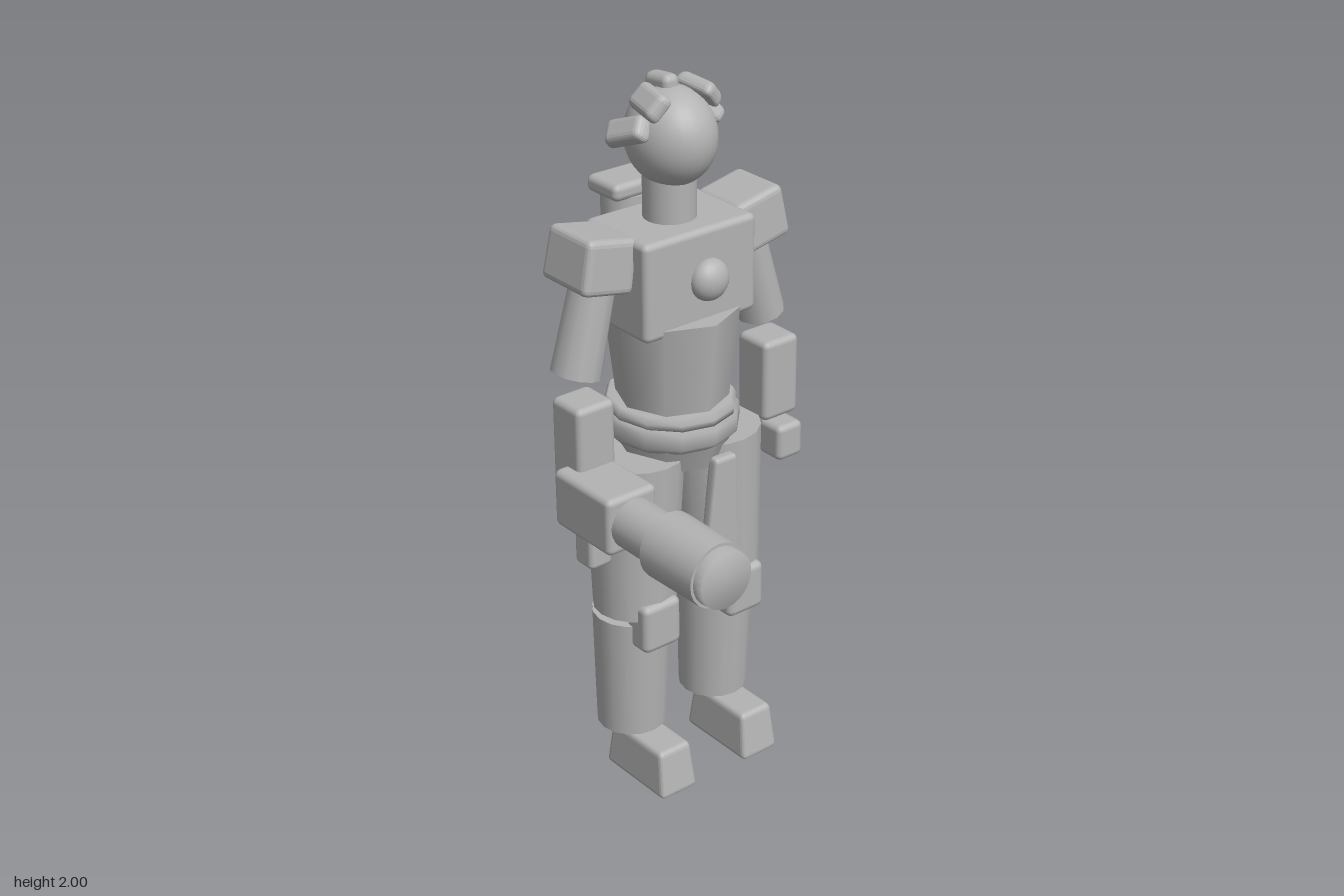
import * as THREE from 'three';
import { RoundedBoxGeometry } from 'three/addons/geometries/RoundedBoxGeometry.js';

const CX = 0.021; // the body's own middle line

export function createModel() {
  const model = new THREE.Group();
  model.name = 'armouredTrooper';
  const grey = new THREE.MeshStandardMaterial({ color: 0xb3b3b3 });
  grey.name = 'plain grey';

  const add = (name, geometry, x, y, z, rx = 0, ry = 0, rz = 0) => {
    const mesh = new THREE.Mesh(geometry, grey);
    mesh.name = name;
    mesh.position.set(x, y, z);
    mesh.rotation.set(rx, ry, rz);
    model.add(mesh);
    return mesh;
  };

  // Rounded box whose top is scaled by tx, tz relative to its bottom
  const box = (w, h, d, r = 0.018, tx = 1, tz = 1) => {
    const g = new RoundedBoxGeometry(w, h, d, 2, r);
    const p = g.attributes.position;
    for (let i = 0; i < p.count; i++) {
      const t = p.getY(i) / h + 0.5;
      p.setX(i, p.getX(i) * (1 + (tx - 1) * t));
      p.setZ(i, p.getZ(i) * (1 + (tz - 1) * t));
    }
    if (tx !== 1 || tz !== 1) g.computeVertexNormals();
    return g;
  };

  // Elliptical tapered cylinder between two centres
  const limb = (name, top, bottom, rTop, rBottom, sides = 16, zScale = 1) => {
    const a = new THREE.Vector3(...top), b = new THREE.Vector3(...bottom);
    const g = new THREE.CylinderGeometry(rTop, rBottom, a.distanceTo(b), sides);
    g.scale(1, 1, zScale);
    const mid = a.clone().add(b).multiplyScalar(0.5);
    const mesh = add(name, g, mid.x, mid.y, mid.z);
    mesh.quaternion.setFromUnitVectors(new THREE.Vector3(0, 1, 0), a.sub(b).normalize());
    return mesh;
  };

  // Head, neck and central crest
  const head = new THREE.SphereGeometry(0.13, 28, 20);
  head.scale(0.88, 1, 1);
  add('head', head, CX, 1.842, -0.18);
  limb('neck', [CX, 1.75, -0.186], [CX, 1.6, -0.186], 0.07, 0.07, 20);
  add('crest', box(0.05, 0.05, 0.095, 0.02), CX, 1.972, -0.212, -0.1);

  // Torso
  add('chest', box(0.365, 0.27, 0.255, 0.018), CX, 1.49, -0.183);
  limb('torso', [CX, 1.38, -0.183], [CX, 1.08, -0.183], 0.178, 0.145, 8, 1.03);
  const gem = new THREE.SphereGeometry(0.057, 20, 14);
  gem.scale(1, 1, 0.75);
  add('chestGem', gem, 0.041, 1.486, -0.052);

  // Belt and hips
  const belt = new THREE.LatheGeometry([
    [0, 0.09], [0.172, 0.09], [0.175, 0.108], [0.165, 0.125], [0, 0.125],
  ].map(([r, y]) => new THREE.Vector2(r, y)), 12);
  belt.scale(1, 1, 1.06);
  add('upperBelt', belt, CX, 1, -0.19);
  const lowerBelt = new THREE.LatheGeometry([
    [0, 0.02], [0.165, 0.02], [0.184, 0.04], [0.184, 0.08], [0.17, 0.095], [0, 0.095],
  ].map(([r, y]) => new THREE.Vector2(r, y)), 12);
  lowerBelt.scale(1, 1, 1.04);
  add('lowerBelt', lowerBelt, CX, 1, -0.19);
  limb('hips', [CX, 1.04, -0.19], [CX, 0.95, -0.19], 0.165, 0.135, 8, 1.1);
  add('frontCloth', box(0.122, 0.335, 0.035, 0.012, 0.6), 0.068, 0.808, -0.036, 0, 0, -0.04);

  // Back pack: cylinder between two caps
  limb('packTank', [CX, 1.64, -0.372], [CX, 1.33, -0.372], 0.066, 0.066, 16);
  add('packTopCap', box(0.158, 0.047, 0.13), CX, 1.658, -0.374);
  add('packBottomCap', box(0.145, 0.047, 0.1), CX, 1.312, -0.388);

  // Paired parts; s = 1 is the model's left
  for (const s of [1, -1]) {
    const side = s > 0 ? 'left' : 'right';
    const X = (d) => CX + s * d;

    add(side + 'UpperHorn', box(0.08, 0.042, 0.125, 0.018, 0.85, 0.85),
      X(0.08), 1.95, -0.163, 0.12, s * 0.15, -s * 0.85);
    add(side + 'LowerHorn', box(0.075, 0.046, 0.135, 0.018, 0.85, 0.85),
      X(0.125), 1.876, -0.195, -0.35, -s * 0.25, -s * 0.95);

    add(side + 'ShoulderPad', box(0.157, 0.145, 0.19, 0.018, 1, 0.92),
      X(0.249), 1.57, -0.193, 0, 0, s * 0.2);
    limb(side + 'UpperArm', [X(0.238), 1.54, -0.188], [X(0.309), 1.27, -0.188], 0.058, 0.066, 12, 1.05);
    add(side + 'Forearm', box(0.12, 0.235, 0.12), X(0.312), 1.098, -0.155);
    add(side + 'Hand', box(0.088, 0.106, 0.092), X(0.334), 0.905, -0.124);

    limb(side + 'Thigh', [X(0.133), 0.99, -0.18], [X(0.147), 0.535, -0.17], 0.133, 0.113, 16, 1.04);
    limb(side + 'Shin', [X(0.148), 0.515, -0.185], [X(0.147), 0.152, -0.192], 0.108, 0.098, 16);
    add(side + 'Knee', box(0.125, 0.145, 0.09, 0.02), X(0.147), 0.517, -0.085);
    add(side + 'Foot', box(0.125, 0.142, 0.26, 0.015, 0.85, 0.84), X(0.147), 0.071, -0.105);
  }

  // Hand cannon pointing forward
  const gx = -0.311, gy = 0.957;
  add('cannonBody', box(0.158, 0.162, 0.235), gx, gy + 0.003, -0.043);
  limb('cannonBarrel', [gx, gy, 0.23], [gx, gy, 0.06], 0.069, 0.069, 24);
  limb('cannonSleeve', [gx, gy, 0.41], [gx, gy, 0.215], 0.088, 0.091, 24);
  const tip = new THREE.LatheGeometry([
    new THREE.Vector2(0.08, 0), new THREE.Vector2(0.078, 0.032), new THREE.Vector2(0, 0.034),
  ], 24);
  add('cannonTip', tip, gx, gy, 0.409, Math.PI / 2);
  add('cannonGrip', box(0.072, 0.125, 0.075, 0.015), gx, 0.823, -0.1);

  return model;
}
